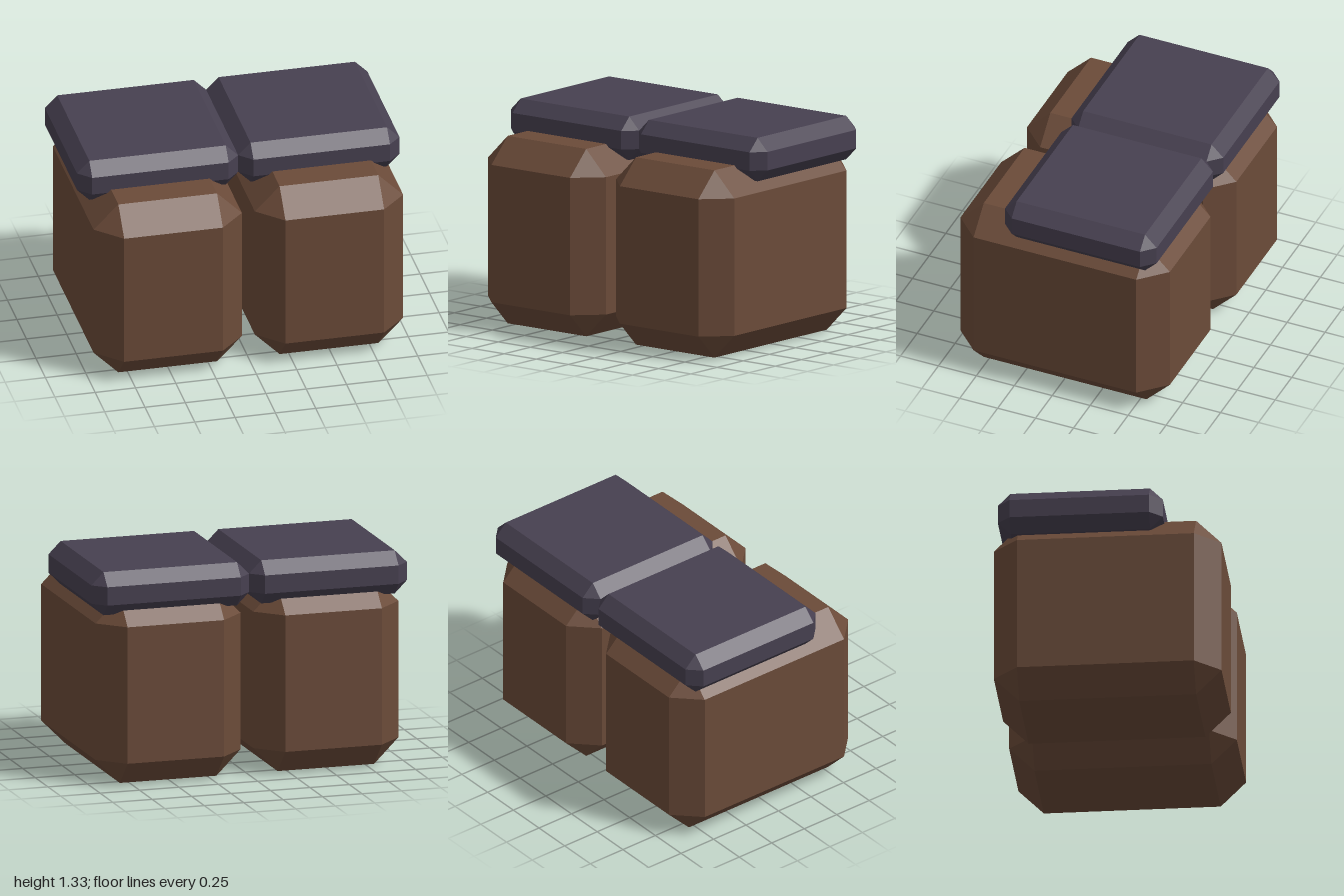
import * as THREE from 'three';
import { ConvexGeometry } from 'three/addons/geometries/ConvexGeometry.js';

// Box with every edge cut at 45 degrees and a triangle at each corner
function chamferedBox(width, height, depth, bevel) {
  const half = [width / 2, height / 2, depth / 2];
  const points = [];
  for (const sx of [-1, 1]) for (const sy of [-1, 1]) for (const sz of [-1, 1]) {
    // Each corner becomes three points, one on each adjoining face
    for (let axis = 0; axis < 3; axis++) {
      const p = half.map((h, i) => (i === axis ? h : h - bevel));
      points.push(new THREE.Vector3(sx * p[0], sy * p[1], sz * p[2]));
    }
  }
  return new ConvexGeometry(points);
}

export function createModel() {
  const brown = new THREE.MeshStandardMaterial({ color: 0x6b4b39 });
  brown.name = 'brown';
  const slate = new THREE.MeshStandardMaterial({ color: 0x474050 });
  slate.name = 'slate';

  const blockGeometry = chamferedBox(0.92, 1.155, 1.38, 0.154);
  const capGeometry = chamferedBox(1, 0.268, 1, 0.077);

  const model = new THREE.Group();
  model.name = 'cappedBlocks';

  for (const [side, sign] of [['left', 1], ['right', -1]]) {
    // Tall brown block
    const block = new THREE.Mesh(blockGeometry, brown);
    block.name = side + 'Block';
    block.position.set(sign * 0.5, 0.5775, 0);

    // Dark slab sunk into the top, set toward the back
    const cap = new THREE.Mesh(capGeometry, slate);
    cap.name = side + 'Cap';
    cap.position.set(sign * 0.5, 1.193, -0.155);

    model.add(block, cap);
  }
  return model;
}
